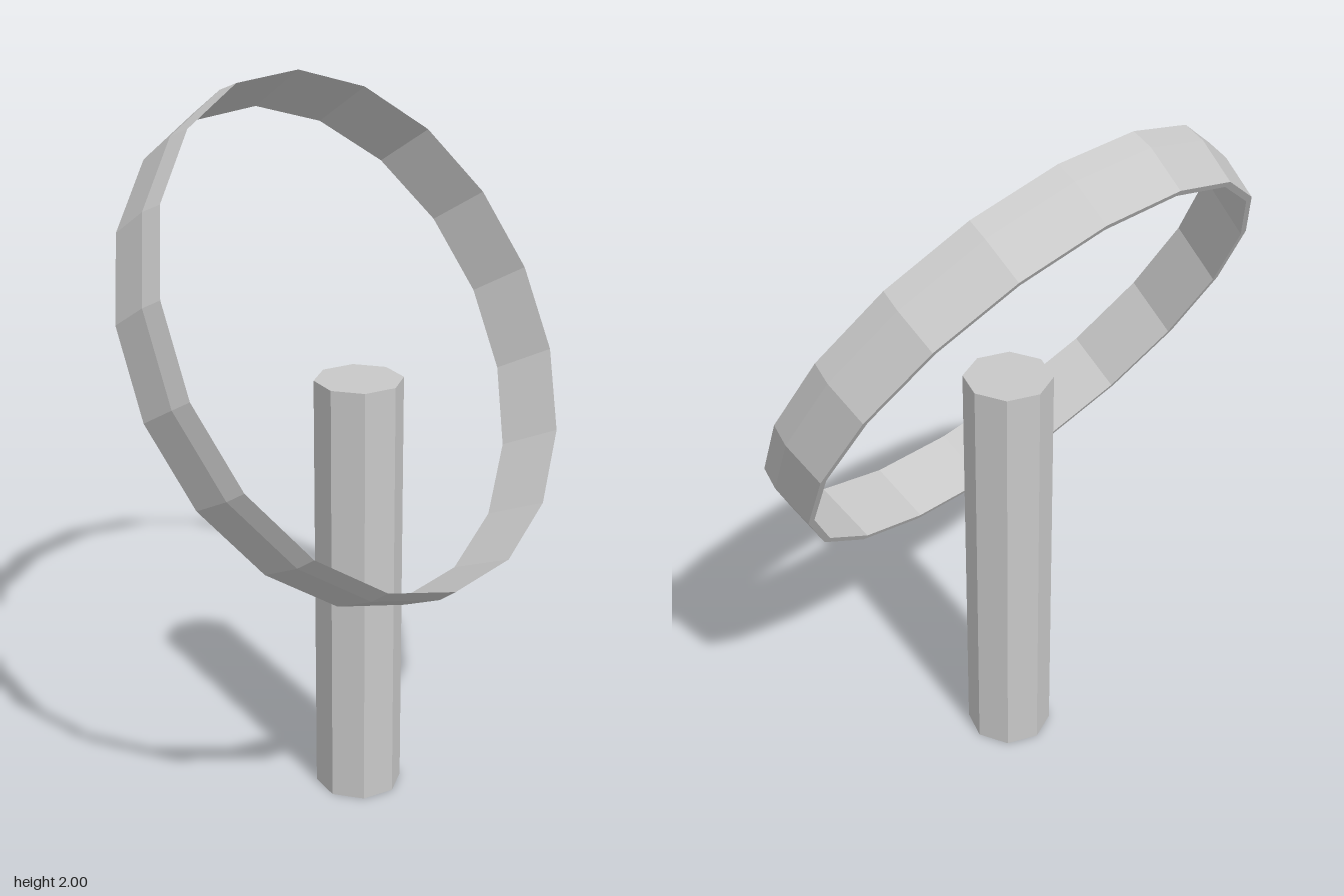
import * as THREE from 'three';

export function createModel() {
  const model = new THREE.Group();
  const grey = new THREE.MeshStandardMaterial({ color: 0xc8c8c8, flatShading: true });
  grey.name = 'light grey';

  // Upright eight-sided post
  const postHeight = 1.23;
  const post = new THREE.Mesh(new THREE.CylinderGeometry(0.122, 0.122, postHeight, 8), grey);
  post.name = 'post';
  post.position.set(0, postHeight / 2, 0.022);
  model.add(post);

  // Tilted ring: closed wedge section, sharp at the front and blunt at the back
  const section = [
    [0.716, -0.095], // back outer edge
    [0.731, 0.03], // crown
    [0.723, 0.09], // sharp front lip
    [0.698, -0.095], // back inner edge
    [0.716, -0.095],
  ].map(([r, h]) => new THREE.Vector2(r, h));
  const sides = 18;
  const ring = new THREE.Mesh(new THREE.LatheGeometry(section, sides, Math.PI / sides), grey);
  ring.name = 'ring';
  ring.position.y = 1.34;
  ring.rotation.x = Math.PI / 3;
  model.add(ring);

  return model;
}
